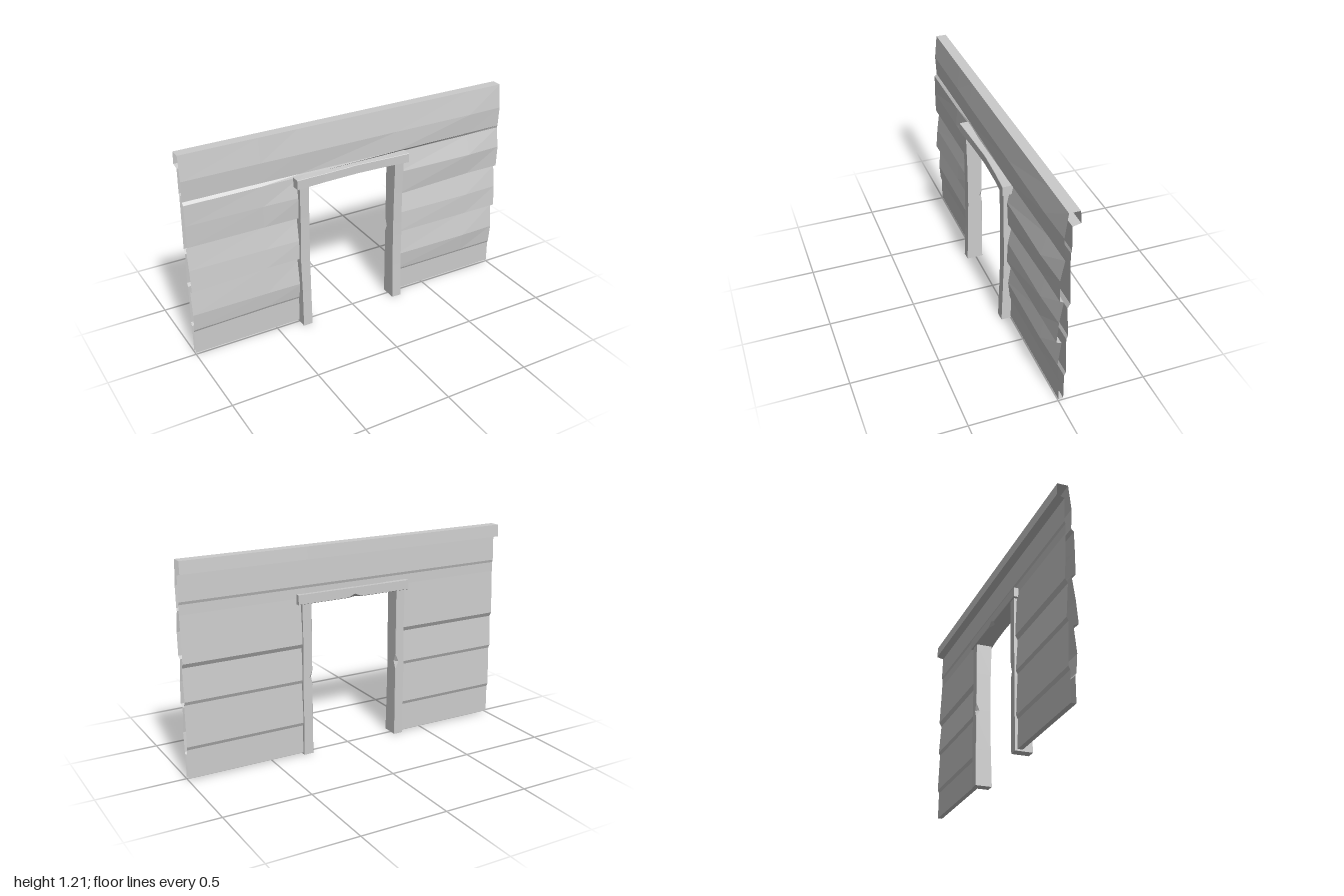
import * as THREE from 'three';

const solid = new THREE.MeshStandardMaterial({ color: 0xcccccc, flatShading: true });
const open = new THREE.MeshStandardMaterial({ color: 0xcccccc, flatShading: true, side: THREE.DoubleSide });

// Skins a row of closed cross-sections with flat faces, optionally capping both ends
function loft(name, rings, capped) {
  const out = [];
  const tri = (a, b, c) => out.push(...a, ...b, ...c);
  const n = rings[0].length;
  for (let i = 0; i < rings.length - 1; i++) {
    for (let j = 0; j < n; j++) {
      const k = (j + 1) % n;
      const a = rings[i][j], b = rings[i + 1][j], c = rings[i + 1][k], d = rings[i][k];
      tri(a, b, c);
      tri(a, c, d);
    }
  }
  if (capped) {
    const first = rings[0], last = rings[rings.length - 1];
    for (let k = 1; k < n - 1; k++) {
      tri(first[0], first[k], first[k + 1]);
      tri(last[0], last[k + 1], last[k]);
    }
  }
  const geometry = new THREE.BufferGeometry();
  geometry.setAttribute('position', new THREE.Float32BufferAttribute(out, 3));
  geometry.computeVertexNormals();
  const mesh = new THREE.Mesh(geometry, capped ? solid : open);
  mesh.name = name;
  return mesh;
}

// Along the wall: plank seam heights, depths either side of the top seam, plank bulge
const stations = [
  { x: -1, seams: [0.15, 0.41, 0.68], under: 0.022, over: 0.008, bow: 0.7 },
  { x: -0.56, seams: [0.16, 0.425, 0.68], under: 0.02, over: 0.008, bow: 0.75 },
  { x: -0.33, seams: [0.16, 0.425, 0.68], under: 0.015, over: 0.01, bow: 0.9 },
  { x: 0.28, seams: [0.142, 0.412, 0.66], under: 0.006, over: 0.02, bow: 0.9 },
  { x: 0.78, seams: [0.142, 0.412, 0.68], under: 0.005, over: 0.014, bow: 1.1 },
  { x: 1, seams: [0.142, 0.412, 0.68], under: 0.005, over: 0.01, bow: 0.8 },
];

// Wall section: up the bowed front planks, over the top, down the back
function wallSection({ x, seams: [s1, s2, s3], under, over, bow }, lowest) {
  const front = [
    [0.01, 0], [s1, 0],
    [s1 + 0.013, 0.006], [0.265, 0.02 * bow], [s2, 0],
    [s2 + 0.013, 0.028], [0.55, 0.025 * bow], [s3, 0],
    [s3 + 0.013, 0.022], [0.82, 0.033 * bow],
    [0.938, under], [0.953, over], [1.07, 0.02 * bow], [1.21, 0],
  ];
  const back = [
    [1.21, -0.06], [1.14, -0.065], [1.13, -0.022],
    [0.99, -0.027], [0.975, -0.022], [0.92, -0.023],
    [0.66, -0.035], [0.635, -0.021], [0.45, -0.034],
    [0.43, -0.025], [0.195, -0.034], [0.175, -0.025], [0.01, -0.028],
  ];
  return [...front, ...back].filter(([y]) => y >= lowest).map(([y, z]) => [x, y, z]);
}

// Door post with a chipped inner back edge; side is the direction of the opening
function post(name, outer, inner) {
  const side = Math.sign(inner - outer);
  const levels = [
    [0, 0.057, 0, 0.002], [0.22, 0.05, 0.002, 0.002], [0.42, 0.046, -0.001, 0.003],
    [0.46, 0.046, 0, 0.02], [0.5, 0.046, 0.001, 0.003], [0.7, 0.048, 0.003, 0.002],
    [0.9, 0.053, 0, 0.002],
  ];
  const rings = levels.map(([y, zf, wobble, chip]) => {
    const o = outer + side * wobble;
    const ring = [
      [inner, y, -0.042 + chip], [inner, y, zf], [o, y, zf],
      [o, y, -0.042], [inner - side * chip, y, -0.042],
    ];
    return side > 0 ? ring : ring.reverse();
  });
  return loft(name, rings, true);
}

export function createModel() {
  const group = new THREE.Group();

  // Planked wall around the doorway, a hollow shell with open ends
  const wall = new THREE.Group();
  wall.name = 'plankWall';
  const span = (name, from, to, lowest) =>
    wall.add(loft(name, stations.slice(from, to).map((s) => wallSection(s, lowest)), false));
  span('rightPlanks', 0, 3, 0);
  span('planksAboveDoor', 2, 4, 0.91);
  span('leftPlanks', 3, 6, 0);
  group.add(wall);

  // Door frame
  const frame = new THREE.Group();
  frame.name = 'doorFrame';
  frame.add(post('rightPost', -0.356, -0.3));
  frame.add(post('leftPost', 0.307, 0.249));

  // Lintel, hollowed along the front and chipped under the back edge
  const lintelStations = [
    [-0.375, 0.065, 0.945, 0.002], [-0.2, 0.054, 0.94, 0.002], [-0.06, 0.049, 0.94, 0.003],
    [-0.02, 0.048, 0.942, 0.02], [0.02, 0.048, 0.942, 0.003], [0.18, 0.054, 0.94, 0.002],
    [0.332, 0.067, 0.944, 0.002],
  ];
  frame.add(loft('lintel', lintelStations.map(([x, zf, top, chip]) => [
    [x, 0.89, zf], [x, top - 0.002, zf], [x, top, zf - 0.002],
    [x, 0.945, -0.05], [x, 0.89 + chip, -0.05], [x, 0.89, -0.05 + chip],
  ]), true));
  group.add(frame);

  return group;
}
